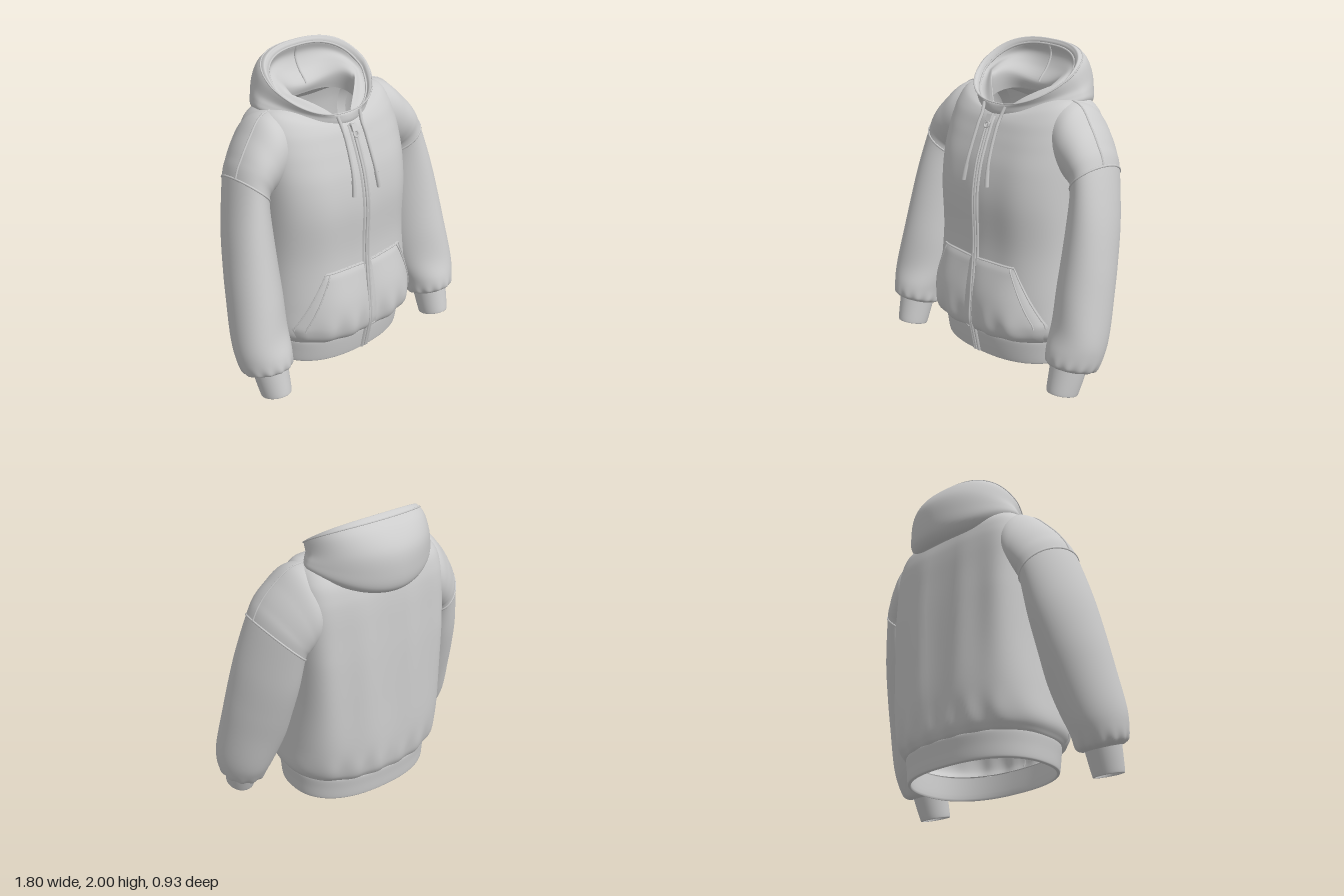
import * as THREE from 'three';
import { mergeVertices } from 'three/addons/utils/BufferGeometryUtils.js';

const cloth = new THREE.MeshStandardMaterial({ color: 0xcccccc, side: THREE.DoubleSide });
cloth.name = 'light grey cloth';

// Smooth interpolation between rows of numbers, s from 0 to 1
function sample(rows, s) {
  const f = Math.min(Math.max(s, 0), 1) * (rows.length - 1);
  const i = Math.min(Math.floor(f), rows.length - 2), t = f - i;
  const at = k => rows[Math.min(Math.max(k, 0), rows.length - 1)];
  return rows[i].map((b, c) => {
    const a = at(i - 1)[c], d = at(i + 1)[c], e = at(i + 2)[c];
    return b + 0.5 * t * (d - a + t * (2 * a - 5 * b + 4 * d - e + t * (3 * (b - d) + e - a)));
  });
}

// Surface from a rule fn(u, v) -> [x, y, z]
function surface(nu, nv, fn) {
  const pos = [], idx = [], w = nu + 1;
  for (let j = 0; j <= nv; j++) for (let i = 0; i <= nu; i++) pos.push(...fn(i / nu, j / nv));
  for (let j = 0; j < nv; j++) for (let i = 0; i < nu; i++) {
    const a = j * w + i;
    idx.push(a, a + w, a + 1, a + 1, a + w, a + w + 1);
  }
  const g = new THREE.BufferGeometry();
  g.setAttribute('position', new THREE.Float32BufferAttribute(pos, 3));
  g.setIndex(idx);
  const m = mergeVertices(g, 1e-5);
  m.computeVertexNormals();
  return m;
}

function tube(points, r, closed = false) {
  const curve = new THREE.CatmullRomCurve3(points.map(p => new THREE.Vector3(...p)), closed);
  return new THREE.TubeGeometry(curve, points.length * 3, r, 6, closed);
}
const range = (n, fn) => Array.from({ length: n }, (_, i) => fn(i / (n - 1)));
const spow = (v, p) => Math.sign(v) * Math.abs(v) ** p;
const bump = (x, centre, width) => Math.exp(-(((x - centre) / width) ** 2));

// Torso rows: y, half width, front z, back z, squareness, neckline drop
const torso = [
  [0.225, 0.5, 0.385, -0.345, 2.3, 0], [0.25, 0.52, 0.4, -0.37, 2.4, 0],
  [0.32, 0.55, 0.41, -0.392, 2.5, 0], [0.5, 0.54, 0.4, -0.4, 2.6, 0],
  [0.8, 0.52, 0.37, -0.39, 2.7, 0], [1.1, 0.515, 0.372, -0.378, 2.8, 0],
  [1.3, 0.515, 0.342, -0.366, 2.8, 0], [1.45, 0.515, 0.295, -0.355, 2.7, 0.01],
  [1.55, 0.505, 0.262, -0.34, 2.6, 0.03], [1.64, 0.482, 0.235, -0.31, 2.4, 0.06],
  [1.708, 0.42, 0.205, -0.25, 2.2, 0.09], [1.722, 0.3, 0.185, -0.21, 2.1, 0.1],
];
// Soft gathers above the hem and long folds down the back
function fold(x, y, front) {
  const drape = Math.sin(Math.PI * Math.min(Math.max((y - 0.25) / 1.4, 0), 1));
  return 0.009 * bump(y, 0.31, 0.1) * Math.cos(38 * x) + drape * (front ? 0.004 : 0.01) * Math.cos(20 * x);
}
function torsoZ(x, y) {
  let lo = 0, hi = 1;
  for (let k = 0; k < 24; k++) {
    const m = (lo + hi) / 2, r = sample(torso, m);
    if (r[0] - r[5] < y) lo = m; else hi = m;
  }
  const [, hw, zf, zb, n] = sample(torso, lo);
  const s = Math.max(0, 1 - Math.abs(x / hw) ** n) ** (1 / n);
  return (zf + zb) / 2 + (zf - zb) / 2 * s + fold(x, y, true) * s;
}
function torsoPoint(u, v) {
  const [y, hw, zf, zb, square, drop] = sample(torso, v), t = u * Math.PI * 2;
  const n = square + (Math.sin(t) < 0 ? 1.6 * Math.min(1, Math.max(0, (y - 0.3) * 1.2)) : 0);
  const x = hw * spow(Math.cos(t), 2 / n), s = spow(Math.sin(t), 2 / n);
  const yy = y - drop * Math.max(0, s) ** 2;
  return [x, yy, (zf + zb) / 2 + ((zf - zb) / 2 + fold(x, yy, s > 0) * Math.sign(s)) * s];
}

// Hem band rows, wrapping over the lower edge to the inside
const hemRows = [[0.24, 0.505, 0.385, -0.35], [0.225, 0.508, 0.392, -0.355], [0.16, 0.502, 0.386, -0.348],
  [0.09, 0.497, 0.375, -0.342], [0.075, 0.49, 0.368, -0.335], [0.085, 0.475, 0.353, -0.32], [0.225, 0.485, 0.365, -0.33]];
function hemPoint(u, v) {
  const [y, hw, zf, zb] = sample(hemRows, v), t = u * Math.PI * 2;
  return [hw * spow(Math.cos(t), 0.85), y, (zf + zb) / 2 + (zf - zb) / 2 * spow(Math.sin(t), 0.85)];
}

// Sleeve and cuff rows: centre x, y, z, then side axis x, y, z and front axis y, z
const sleeve = [
  [0.34, 1.49, -0.07, 0, 0.225, 0.01, 0, 0.2], [0.45, 1.455, -0.07, 0.03, 0.24, 0.03, 0, 0.235],
  [0.52, 1.4, -0.06, 0.065, 0.2, 0.05, 0, 0.232], [0.57, 1.345, -0.05, 0.092, 0.16, 0.06, 0.01, 0.222],
  [0.605, 1.27, -0.04, 0.115, 0.12, 0.06, 0.015, 0.212], [0.645, 1.03, 0.01, 0.155, 0.07, 0.05, 0.05, 0.21],
  [0.672, 0.8, 0.07, 0.175, 0.04, 0.04, 0.06, 0.202], [0.69, 0.6, 0.127, 0.185, 0.03, 0.03, 0.06, 0.193],
  [0.714, 0.4, 0.187, 0.185, 0, 0.02, 0.06, 0.181], [0.722, 0.28, 0.235, 0.17, 0, 0, 0.05, 0.178],
  [0.717, 0.2, 0.265, 0.152, 0, 0, 0.05, 0.157], [0.71, 0.178, 0.28, 0.112, 0, 0, 0.04, 0.118],
];
const seamRow = 4 / 11;
const cuff = [
  [0.71, 0.23, 0.27, 0.112, 0, 0, 0.04, 0.115], [0.708, 0.13, 0.3, 0.103, 0, 0, 0.035, 0.108],
  [0.705, 0.04, 0.328, 0.093, 0, 0, 0.028, 0.101], [0.705, 0.032, 0.33, 0.087, 0, 0, 0.026, 0.095],
  [0.705, 0.042, 0.328, 0.08, 0, 0, 0.025, 0.088], [0.708, 0.17, 0.288, 0.092, 0, 0, 0.03, 0.096],
];
function limbPoint(rows, u, v, gather) {
  const [cx, cy, cz, ax, ay, az, by, bz] = sample(rows, v), t = u * Math.PI * 2;
  const size = 1 + (gather ? 0.035 * bump(v, 0.935, 0.06) * Math.cos(13 * t)
    + 0.02 * bump(v, 0.76, 0.13) * Math.cos(3 * t + 14 * v) : 0);
  const c = Math.cos(t) * size, s = Math.sin(t) * size;
  return [cx + ax * c, cy + ay * c + by * s, cz + az * c + bz * s];
}

// Hood rows: half width, back z, back y, front z, front y, side lift, front taper, squareness
const hood = [
  [0.35, -0.28, 1.64, 0.17, 1.59, 0.06, 0.1, 2], [0.405, -0.38, 1.553, 0.2, 1.595, 0.1, 0.1, 1.95],
  [0.428, -0.452, 1.59, 0.212, 1.605, 0.11, 0.12, 1.85], [0.418, -0.47, 1.7, 0.218, 1.625, 0.08, 0.14, 1.85],
  [0.398, -0.455, 1.83, 0.216, 1.65, 0.04, 0.15, 2], [0.382, -0.38, 1.94, 0.21, 1.668, 0.03, 0.15, 2.3],
  [0.368, -0.295, 1.997, 0.2, 1.675, 0.01, 0.16, 2.5], [0.352, -0.275, 1.99, 0.188, 1.665, 0.005, 0.2, 2.5],
  [0.338, -0.268, 1.965, 0.182, 1.64, 0, 0.26, 2.5], [0.315, -0.285, 1.9, 0.18, 1.62, 0.03, 0.4, 2.5],
  [0.275, -0.25, 1.82, 0.178, 1.605, 0.08, 0.58, 2.5], [0.24, -0.18, 1.74, 0.175, 1.59, 0.09, 0.72, 2.6],
  [0.25, -0.19, 1.68, 0.175, 1.55, 0.02, 0.68, 2.6],
];
function hoodPoint(u, v) {
  const [hw, zb, yb, zf, yf, lift, taper, n] = sample(hood, v), t = u * Math.PI * 2;
  const c = -spow(Math.cos(t), 2 / n), s = spow(Math.sin(t), 2 / n);
  return [hw * s * (1 - taper * Math.max(0, c)), (yb + yf) / 2 + (yf - yb) / 2 * c + lift * s * s,
    (zb + zf) / 2 + (zf - zb) / 2 * c];
}

// Front pocket outline and its soft bulge
const pocketEdge = y => y > 0.36 ? 0.5 - (y - 0.36) / 0.37 * 0.19 : 0.455 + (y - 0.23) / 0.13 * 0.045;
function pocketPoint(u, v, lift = 0) {
  const y = 0.23 + 0.5 * v, x = 0.032 + (pocketEdge(y) - 0.032) * u;
  const rim = Math.min(1, 14 * (1 - u), 14 * (1 - v), 14 * v);
  const bulge = 0.045 * Math.sin(Math.PI * v ** 0.65) * Math.max(0, Math.sin(Math.PI * (0.12 + 0.88 * u))) ** 0.6;
  return [x, y, torsoZ(x, y) + 0.005 + 0.01 * rim + Math.max(0, bulge) + lift];
}

export function createModel() {
  const model = new THREE.Group();
  model.name = 'hooded jacket';
  const add = (name, geo) => {
    const m = new THREE.Mesh(geo, cloth);
    m.name = name;
    model.add(m);
    return m;
  };

  add('torso', surface(160, 70, torsoPoint));
  add('hemBand', surface(96, 24, hemPoint));
  add('hood', surface(96, 72, hoodPoint));

  // Hood seams
  add('hoodRimSeam', tube(range(41, t => hoodPoint(t, 8 / 12)).slice(0, 40), 0.007, true));
  add('hoodOuterSeam', tube(range(41, t => hoodPoint(t, 5.6 / 12)).slice(0, 40), 0.005, true));
  add('hoodInnerSeam', tube(range(9, t => hoodPoint(0, (8 + 3 * t) / 12)), 0.008));

  // Zip: coil, slider and puller
  const front = (x, y, d) => [x, y, torsoZ(x, Math.max(y, 0.27)) - Math.max(0, 0.27 - y) * 0.2 + d];
  add('zipCoil', tube(range(30, t => front(0, 0.085 + 1.52 * t, 0.004)), 0.009));
  const slider = add('zipSlider', new THREE.BoxGeometry(0.04, 0.045, 0.025));
  slider.position.set(...front(0, 1.585, 0.015));
  slider.rotation.x = -0.45;
  const pull = add('zipPuller', new THREE.TorusGeometry(0.018, 0.006, 6, 16));
  pull.position.set(...front(0, 1.55, 0.022));
  pull.rotation.x = -0.45;

  for (const [side, sx] of [['left', 1], ['right', -1]]) {
    const flip = p => [p[0] * sx, p[1], p[2]];

    // Sleeve, cuff and their seams
    add(side + 'Sleeve', surface(104, 80, (u, v) => flip(limbPoint(sleeve, u, v, true))));
    add(side + 'Cuff', surface(40, 20, (u, v) => flip(limbPoint(cuff, u, v, false))));
    add(side + 'ArmholeSeam', tube(range(33, t => flip(limbPoint(sleeve, t, seamRow, true))).slice(0, 32), 0.007, true));
    add(side + 'ShoulderSeam', tube(range(10, t => flip(limbPoint(sleeve, 0, seamRow * t, true))), 0.007));

    // Zip placket
    add(side + 'ZipPlacket', surface(4, 60, (u, v) =>
      flip(front(0.009 + 0.022 * u, 0.08 + 1.52 * v, 0.01 * Math.max(0, Math.sin(Math.PI * u)) ** 0.5 + 0.002))));

    // Pocket with top seam, opening edge and stitch line
    add(side + 'Pocket', surface(40, 32, (u, v) => flip(pocketPoint(u, v))));
    add(side + 'PocketTopSeam', tube(range(10, t => flip(pocketPoint(t, 0.985, 0.002))), 0.006));
    for (const u of [0.99, 0.9])
      add(side + 'PocketEdgeSeam', tube(range(14, t => flip(pocketPoint(u, 0.24 + 0.74 * t, 0.002))), 0.005));

    // Drawstring and its tip
    const cord = range(9, t => front(0.08 + 0.024 * t * t, 1.6 - 0.4 * t, 0.015));
    add(side + 'Drawstring', tube([[0.09, 1.665, 0.205], ...cord].map(flip), 0.011));
    add(side + 'DrawstringTip', tube(cord.slice(-3).map(flip), 0.014));
  }
  return model;
}
